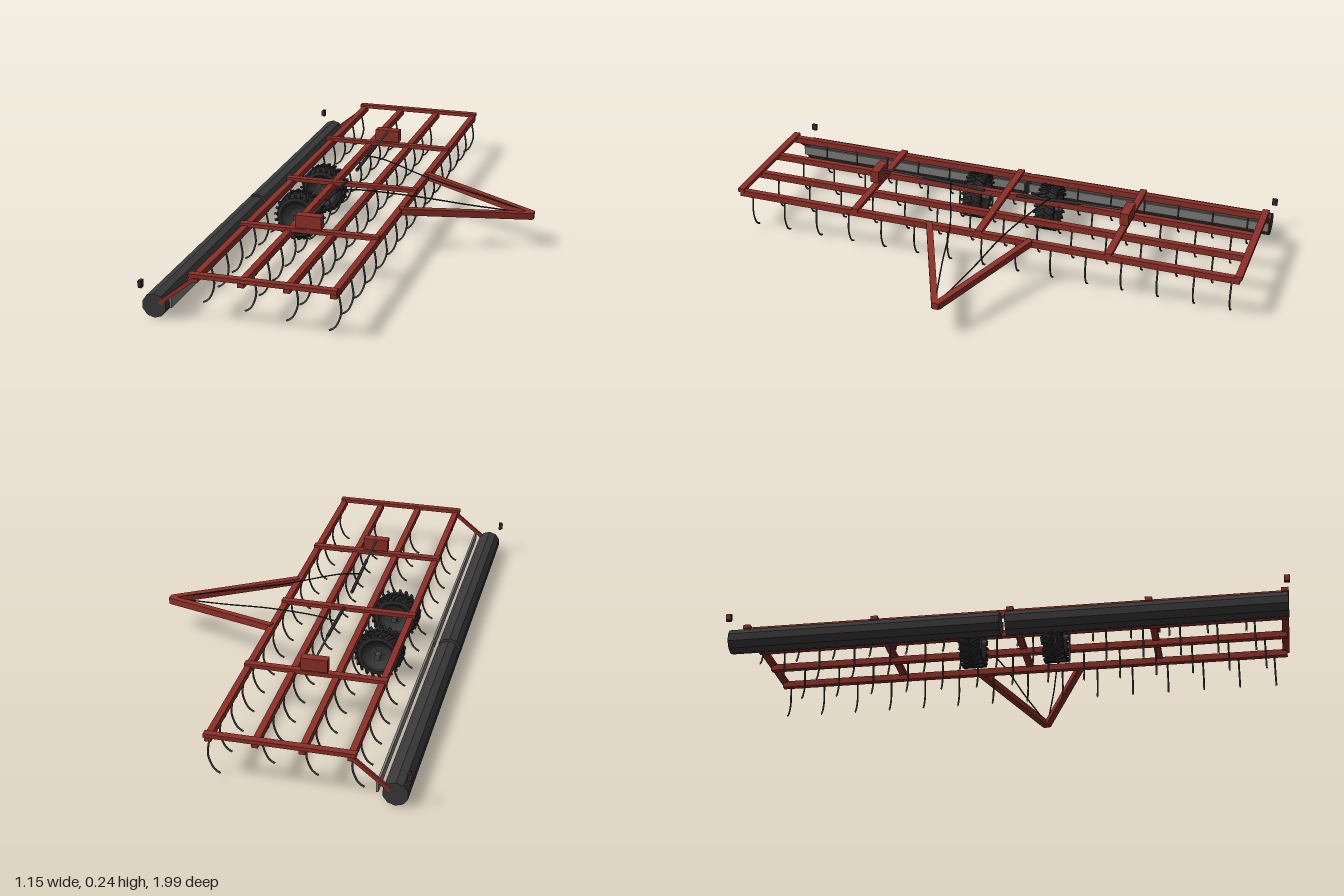
import * as THREE from 'three';

const mat = (name, color, side = THREE.FrontSide) => {
  const m = new THREE.MeshStandardMaterial({ color, side });
  m.name = name;
  return m;
};

export function createModel() {
  const root = new THREE.Group();
  root.name = 'cultivator';
  const red = mat('red paint', 0x8e3028);
  const rubber = mat('black rubber', 0x2b2b2b);
  const steel = mat('dark steel', 0x484a48);
  const rollerGrey = mat('roller grey', 0x3a3a3a);
  const plate = mat('grey plate', 0x7c7c7a);
  for (const m of [rollerGrey, rubber]) m.flatShading = true;

  const add = (name, geo, material, x = 0, y = 0, z = 0, parent = root) => {
    const m = new THREE.Mesh(geo, material);
    m.name = name;
    m.position.set(x, y, z);
    parent.add(m);
    return m;
  };
  const box = (name, w, h, d, material, x, y, z, parent) =>
    add(name, new THREE.BoxGeometry(w, h, d), material, x, y, z, parent);
  // square or round bar whose long axis joins two points
  const V = (x, y, z) => new THREE.Vector3(x, y, z);
  const between = (name, a, b, material, geoFor) => {
    const m = add(name, geoFor(a.distanceTo(b)), material);
    m.position.copy(a).add(b).multiplyScalar(0.5);
    m.lookAt(b);
    return m;
  };
  const beam = (w, h) => l => new THREE.BoxGeometry(w, h, l);
  const rod = r => l => new THREE.CylinderGeometry(r, r, l, 12).rotateX(Math.PI / 2);

  // main frame: four cross beams carrying five lengthwise rails
  const beamX = [0.11, -0.05, -0.21, -0.373];
  for (const x of beamX) box('crossBeam', 0.023, 0.024, 1.97, red, x, 0.16, 0);
  for (const z of [-0.98, -0.5, 0, 0.5, 0.98])
    box('frameRail', 0.515, 0.015, 0.026, red, -0.134, 0.1735, z);

  // spring tines, staggered from row to row
  const tineGeo = new THREE.TubeGeometry(new THREE.CatmullRomCurve3([
    V(0, 0.152, 0), V(0.007, 0.115, 0), V(0.01, 0.08, 0),
    V(0.0, 0.045, 0), V(-0.014, 0.022, 0), V(-0.032, 0.011, 0),
  ]), 12, 0.0035, 6);
  const firstTine = [-0.955, -0.853, -0.887, -0.917];
  beamX.forEach((x, row) => {
    for (let z = firstTine[row]; z < 0.96; z += 0.135) {
      add('tine', tineGeo, steel, x, 0, z);
      box('tineClamp', 0.025, 0.008, 0.009, red, x, 0.151, z);
    }
  });

  // tyre cross-section turned about the axle (radius, width)
  const tyreGeo = new THREE.LatheGeometry([
    [0.05, -0.03], [0.064, -0.038], [0.077, -0.036], [0.083, -0.027], [0.084, 0],
    [0.083, 0.027], [0.077, 0.036], [0.064, 0.038], [0.05, 0.03],
  ].map(p => new THREE.Vector2(...p)), 32).rotateX(Math.PI / 2);
  const rimGeo = new THREE.LatheGeometry([
    [0.0, -0.022], [0.03, -0.022], [0.044, -0.028], [0.054, -0.034],
    [0.054, 0.034], [0.044, 0.028], [0.03, 0.022], [0.0, 0.022],
  ].map(p => new THREE.Vector2(...p)), 32).rotateX(Math.PI / 2);
  const lugGeo = new THREE.BoxGeometry(0.009, 0.009, 0.046);
  const boltGeo = new THREE.CylinderGeometry(0.0025, 0.0025, 0.052, 6).rotateX(Math.PI / 2);

  for (const s of [-1, 1]) {
    // wheel
    const wheel = new THREE.Group();
    wheel.name = 'wheel';
    wheel.position.set(-0.29, 0.09, s * 0.15);
    root.add(wheel);
    add('tyre', tyreGeo, rubber, 0, 0, 0, wheel);
    const rim = mat;
    add('rim', rimGeo, rollerGrey, 0, 0, 0, wheel);
    add('hub', new THREE.CylinderGeometry(0.011, 0.011, 0.104, 12).rotateX(Math.PI / 2), steel, 0, 0, 0, wheel);
    for (let i = 0; i < 6; i++) {
      const a = i * Math.PI / 3;
      add('wheelBolt', boltGeo, steel, 0.02 * Math.cos(a), 0.02 * Math.sin(a), 0, wheel);
    }
    // slanted tread lugs alternating between both shoulders
    for (let i = 0; i < 44; i++) {
      const a = i * Math.PI / 22, side = i % 2 ? 1 : -1;
      const pivot = new THREE.Group();
      pivot.name = 'treadLug';
      pivot.rotation.z = a;
      wheel.add(pivot);
      add('lug', lugGeo, rubber, 0, 0.0845, side * 0.019, pivot).rotation.y = side * 0.4;
    }

    // packing roller with its levelling plate
    const rollerGeo = new THREE.CylinderGeometry(0.044, 0.044, 0.975, 10).rotateX(Math.PI / 2);
    add('roller', rollerGeo, rollerGrey, -0.522, 0.046, s * 0.4975);
    box('levellingPlate', 0.008, 0.036, 0.975, plate, -0.462, 0.063, s * 0.4975);

    // roller arm and marker lamp
    between('rollerArm', V(-0.373, 0.162, s * 0.98), V(-0.505, 0.056, s * 0.98), red, beam(0.012, 0.014));
    box('lampHousing', 0.011, 0.026, 0.02, rubber, -0.566, 0.122, s * 0.985);
    box('lampFace', 0.004, 0.02, 0.015, red, -0.573, 0.122, s * 0.985);

    // drawbar leg
    between('drawbarLeg', V(0.11, 0.164, s * 0.2), V(0.567, 0.122, s * 0.004), red, beam(0.024, 0.025));

    // fold bracket, ram barrel and ram rod
    box('foldBracket', 0.097, 0.048, 0.034, red, -0.132, 0.212, s * 0.503);
    box('bracketPost', 0.022, 0.016, 0.018, red, -0.132, 0.185, s * 0.503);
    between('ramBarrel', V(-0.132, 0.209, s * 0.065), V(-0.132, 0.222, s * 0.32), rubber, rod(0.0065));
    between('ramRod', V(-0.132, 0.221, s * 0.3), V(-0.132, 0.227, s * 0.5), steel, rod(0.004));

    // hydraulic hose to the hitch
    const hose = new THREE.CatmullRomCurve3([
      V(-0.132, 0.222, s * 0.2), V(-0.06, 0.222, s * 0.178), V(0.14, 0.191, s * 0.105),
      V(0.34, 0.161, s * 0.06), V(0.55, 0.132, s * 0.008),
    ]);
    add('hose', new THREE.TubeGeometry(hose, 24, 0.0028, 6), rubber);
  }

  // hitch tip and wheel axle
  box('hitchTip', 0.022, 0.025, 0.024, red, 0.563, 0.122, 0);
  return root;
}
